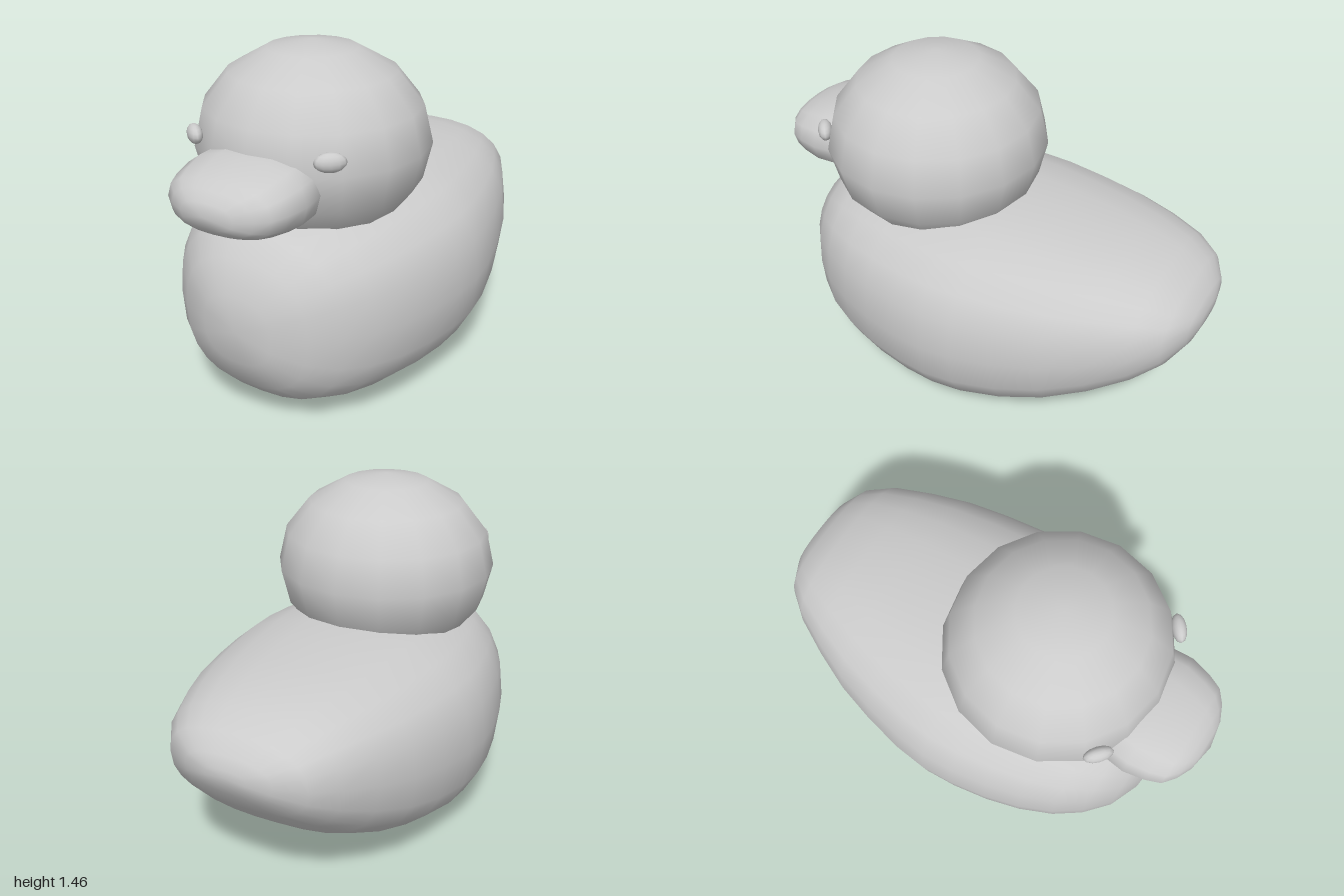
import * as THREE from 'three';
import { mergeVertices } from 'three/addons/utils/BufferGeometryUtils.js';

const material = new THREE.MeshStandardMaterial({ color: 0xcccccc });

// Skins rounded cross-sections [z, half width, bottom y, top y], listed back to front.
function loft(sections, sides, power) {
  const positions = [];
  const index = [];
  for (const [z, w, bottom, top] of sections) {
    const mid = (top + bottom) / 2;
    const h = (top - bottom) / 2;
    for (let j = 0; j < sides; j++) {
      const t = (j / sides) * Math.PI * 2;
      const s = -Math.sin(t);
      const c = Math.pow(Math.max(0, 1 - Math.pow(Math.abs(s), power)), 1 / power);
      const up = Math.abs(Math.cos(t)) < 1e-6 ? 0 : Math.sign(Math.cos(t));
      positions.push(s * w, mid + up * c * h, z);
    }
  }
  for (let i = 0; i < sections.length - 1; i++) {
    for (let j = 0; j < sides; j++) {
      const k = (j + 1) % sides;
      const a = i * sides + j;
      const b = i * sides + k;
      index.push(a, b, a + sides, b, b + sides, a + sides);
    }
  }
  const geometry = new THREE.BufferGeometry();
  geometry.setAttribute('position', new THREE.Float32BufferAttribute(positions, 3));
  geometry.setIndex(index);
  // Welding closes the pointed ends so they shade smoothly
  const welded = mergeVertices(geometry, 1e-4);
  welded.computeVertexNormals();
  return welded;
}

function addPart(group, name, geometry) {
  const mesh = new THREE.Mesh(geometry, material);
  mesh.name = name;
  group.add(mesh);
  return mesh;
}

export function createModel() {
  const group = new THREE.Group();
  group.name = 'bathDuck';

  // Body: full breast, tapering and rising to a rounded tail
  addPart(group, 'body', loft([
    [-1.0, 0, 0.64, 0.64],
    [-0.998, 0.09, 0.61, 0.67],
    [-0.98, 0.19, 0.56, 0.72],
    [-0.92, 0.305, 0.47, 0.78],
    [-0.82, 0.385, 0.365, 0.83],
    [-0.67, 0.46, 0.245, 0.865],
    [-0.5, 0.53, 0.145, 0.883],
    [-0.32, 0.577, 0.068, 0.895],
    [-0.14, 0.61, 0.02, 0.902],
    [0.0, 0.62, 0.004, 0.9],
    [0.14, 0.607, 0, 0.893],
    [0.3, 0.576, 0.006, 0.882],
    [0.45, 0.53, 0.022, 0.865],
    [0.59, 0.465, 0.048, 0.84],
    [0.7, 0.385, 0.092, 0.802],
    [0.79, 0.285, 0.18, 0.72],
    [0.845, 0.155, 0.305, 0.59],
    [0.86, 0, 0.448, 0.448],
  ], 24, 2.5));

  // Head: slightly flattened ball sunk into the body
  const head = addPart(group, 'head', new THREE.SphereGeometry(1, 16, 8));
  head.scale.set(0.48, 0.4, 0.47);
  head.position.set(0, 1.06, 0.285);

  // Beak: broad and blunt
  addPart(group, 'beak', loft([
    [0.5, 0, 0.99, 0.99],
    [0.55, 0.22, 0.87, 1.12],
    [0.66, 0.265, 0.845, 1.132],
    [0.76, 0.275, 0.848, 1.125],
    [0.85, 0.255, 0.862, 1.103],
    [0.91, 0.23, 0.876, 1.085],
    [0.95, 0.18, 0.895, 1.062],
    [0.98, 0.115, 0.927, 1.025],
    [1.0, 0, 0.98, 0.98],
  ], 16, 2.5));

  // Eyes: small flat ovals turned to follow the head
  for (const side of [1, -1]) {
    const eye = addPart(group, side > 0 ? 'leftEye' : 'rightEye', new THREE.SphereGeometry(1, 12, 8));
    eye.scale.set(0.062, 0.038, 0.03);
    eye.position.set(side * 0.305, 1.127, 0.652);
    eye.rotation.y = side * 0.7;
  }
  return group;
}
